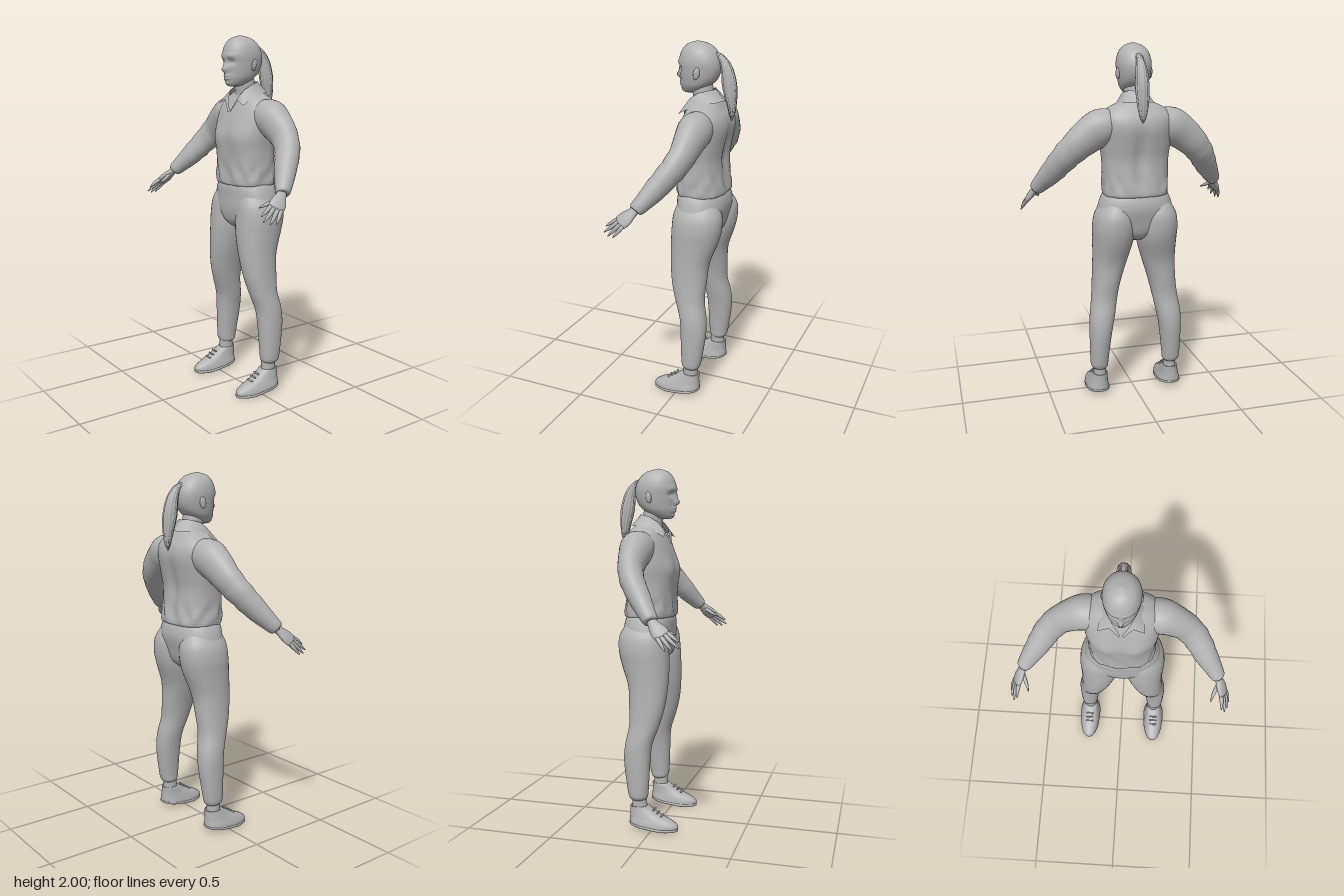
import * as THREE from 'three';

const grey = new THREE.MeshStandardMaterial({ color: 0xb2b2b2 });
grey.name = 'plain grey';
const greyCloth = grey.clone();
greyCloth.side = THREE.DoubleSide;
greyCloth.name = 'plain grey cloth';

const bell = (d, w) => Math.exp(-(d * d) / (w * w));

// Smooth interpolation between the rows of a loft
function refine(rows, sub) {
  const out = [];
  for (let i = 0; i < rows.length - 1; i++) {
    const a = rows[Math.max(i - 1, 0)], b = rows[i], c = rows[i + 1], d = rows[Math.min(i + 2, rows.length - 1)];
    for (let k = 0; k < sub; k++) {
      const t = k / sub;
      out.push(b.map((_, m) => 0.5 * (2 * b[m] + (c[m] - a[m]) * t + (2 * a[m] - 5 * b[m] + 4 * c[m] - d[m]) * t * t
        + (3 * b[m] - a[m] - 3 * c[m] + d[m]) * t * t * t)));
    }
  }
  out.push(rows[rows.length - 1]);
  return out;
}

// Skin over oval rings. Row: x, y, z, side radius, front radius, back radius.
// Rings lie level (rows go upward) unless ref is given; then they follow the path.
function loft(name, rows, { n = 28, sub = 4, power = 2, ref = null, bump = null } = {}) {
  const rings = refine(rows, sub), pos = [], index = [];
  const centre = r => new THREE.Vector3(r[0], r[1], r[2]);
  rings.forEach((r, i) => {
    const u = new THREE.Vector3(1, 0, 0), v = new THREE.Vector3(0, 0, 1);
    if (ref) {
      const t = centre(rings[Math.min(i + 1, rings.length - 1)]).sub(centre(rings[Math.max(i - 1, 0)])).normalize();
      v.copy(ref).addScaledVector(t, -ref.dot(t)).normalize();
      u.crossVectors(t, v);
    }
    for (let j = 0; j < n; j++) {
      const a = (j / n) * Math.PI * 2, c = Math.cos(a), s = Math.sin(a), e = 2 / power;
      const p = centre(r)
        .addScaledVector(u, Math.sign(c) * Math.abs(c) ** e * Math.max(r[3], 0.001))
        .addScaledVector(v, Math.sign(s) * Math.abs(s) ** e * Math.max(s > 0 ? r[4] : r[5] ?? r[4], 0.001));
      if (bump) bump(p, a, centre(r));
      pos.push(p.x, p.y, p.z);
    }
  });
  const last = (rings.length - 1) * n, c0 = rings.length * n;
  pos.push(...rings[0].slice(0, 3), ...rings[rings.length - 1].slice(0, 3));
  for (let j = 0; j < n; j++) {
    const k = (j + 1) % n;
    for (let i = 0; i < last; i += n) index.push(i + j, i + n + j, i + k, i + k, i + n + j, i + n + k);
    index.push(c0, j, k, c0 + 1, last + k, last + j);
  }
  const g = new THREE.BufferGeometry();
  g.setAttribute('position', new THREE.Float32BufferAttribute(pos, 3));
  g.setIndex(index);
  g.computeVertexNormals();
  const mesh = new THREE.Mesh(g, grey);
  mesh.name = name;
  return mesh;
}

// Brow, eye sockets, nose, lips and chin pushed out of the face
function faceBump(p) {
  if (p.z < 0) return;
  const ax = Math.abs(p.x);
  p.z += 0.028 * bell(p.x, 0.014) * bell(p.y - 1.815, 0.02) + 0.012 * bell(p.x, 0.012) * bell(p.y - 1.85, 0.025);
  p.z -= 0.014 * bell(ax - 0.036, 0.02) * bell(p.y - 1.857, 0.016);
  p.z += 0.006 * bell(ax - 0.035, 0.03) * bell(p.y - 1.887, 0.014);
  p.z += 0.012 * bell(p.x, 0.026) * (bell(p.y - 1.783, 0.008) + bell(p.y - 1.767, 0.008));
  p.z += 0.008 * bell(p.x, 0.025) * bell(p.y - 1.742, 0.013);
}

// Bust, spine furrow and loose folds of the shirt
function shirtBump(p, a) {
  if (p.z > -0.05) p.z += 0.014 * bell(Math.abs(p.x) - 0.085, 0.06) * bell(p.y - 1.45, 0.07);
  else p.z += 0.02 * bell(p.x, 0.03) * bell(p.y - 1.4, 0.16);
  const low = bell(p.y - 1.24, 0.06);
  p.x *= 1 + 0.02 * low * Math.sin(a * 9 + p.y * 40);
  p.z += 0.006 * low * Math.sin(a * 11 - p.y * 30);
}

function collar(s) {
  const pairs = [
    [[0, 1.75, -0.135], [0, 1.69, -0.185]], [[0.05, 1.75, -0.115], [0.08, 1.69, -0.16]],
    [[0.07, 1.735, -0.06], [0.105, 1.685, -0.075]], [[0.064, 1.705, -0.012], [0.118, 1.625, 0.034]],
    [[0.045, 1.67, 0.012], [0.06, 1.65, 0.028]], [[0.004, 1.59, 0.04], [0.012, 1.585, 0.045]]];
  const g = new THREE.BufferGeometry(), index = [];
  g.setAttribute('position', new THREE.Float32BufferAttribute(pairs.flat().flatMap(([x, y, z]) => [x * s, y, z]), 3));
  for (let i = 0; i < pairs.length * 2 - 2; i += 2) {
    if (s > 0) index.push(i, i + 2, i + 1, i + 1, i + 2, i + 3);
    else index.push(i, i + 1, i + 2, i + 1, i + 3, i + 2);
  }
  g.setIndex(index);
  g.computeVertexNormals();
  const mesh = new THREE.Mesh(g, greyCloth);
  mesh.name = 'collar';
  return mesh;
}

export function createModel() {
  const model = new THREE.Group();
  model.name = 'standing woman';

  // Head, neck and hair
  model.add(loft('head', [
    [0, 1.725, 0.02, 0.015, 0.015, 0.03], [0, 1.735, 0, 0.045, 0.05, 0.06], [0, 1.765, -0.03, 0.072, 0.09, 0.07],
    [0, 1.8, -0.04, 0.084, 0.102, 0.098], [0, 1.85, -0.045, 0.092, 0.112, 0.114], [0, 1.9, -0.045, 0.094, 0.116, 0.113],
    [0, 1.95, -0.04, 0.08, 0.095, 0.095], [0, 1.983, -0.035, 0.05, 0.06, 0.06], [0, 2, -0.03, 0.002, 0.002, 0.002]],
  { n: 56, sub: 8, power: 2.1, bump: faceBump }));
  model.add(loft('neck', [[0, 1.58, -0.08, 0.075, 0.075], [0, 1.68, -0.07, 0.06, 0.06], [0, 1.8, -0.05, 0.056, 0.058]]));
  model.add(loft('ponytail', [
    [0, 1.935, -0.13, 0.012, 0.016], [0, 1.915, -0.165, 0.018, 0.02], [0, 1.86, -0.195, 0.03, 0.03],
    [0, 1.78, -0.211, 0.038, 0.036], [0, 1.7, -0.223, 0.029, 0.032], [0, 1.63, -0.228, 0.016, 0.02],
    [0, 1.59, -0.227, 0.003, 0.003]], {
    n: 48, ref: new THREE.Vector3(1, 0, 0),
    bump: (p, a, c) => p.sub(c).multiplyScalar(1 + 0.07 * Math.cos(a * 12)).add(c)
  }));

  // Shirt body and hem
  model.add(loft('shirt', [
    [0, 1.18, -0.07, 0.17, 0.125, 0.125], [0, 1.195, -0.07, 0.183, 0.135, 0.14], [0, 1.28, -0.07, 0.182, 0.135, 0.13],
    [0, 1.38, -0.07, 0.185, 0.138, 0.125], [0, 1.46, -0.07, 0.195, 0.136, 0.137], [0, 1.55, -0.08, 0.2, 0.125, 0.142],
    [0, 1.61, -0.09, 0.195, 0.112, 0.122], [0, 1.655, -0.09, 0.16, 0.09, 0.092], [0, 1.685, -0.085, 0.1, 0.07, 0.075],
    [0, 1.7, -0.08, 0.06, 0.06, 0.06]], { n: 64, sub: 6, power: 2.5, bump: shirtBump }));

  // Trouser seat
  model.add(loft('trouser seat', [
    [0, 0.93, -0.07, 0.05, 0.07, 0.07], [0, 0.97, -0.07, 0.12, 0.115, 0.11], [0, 1.04, -0.07, 0.22, 0.13, 0.13],
    [0, 1.11, -0.07, 0.212, 0.13, 0.145], [0, 1.165, -0.07, 0.195, 0.13, 0.138], [0, 1.2, -0.07, 0.175, 0.12, 0.12]],
  { n: 40, power: 2.3 }));

  for (const s of [1, -1]) {
    const side = rows => rows.map(([x, ...rest]) => [x * s, ...rest]);
    model.add(collar(s));

    const ear = new THREE.Mesh(new THREE.SphereGeometry(1, 16, 12), grey);
    ear.name = 'ear';
    ear.scale.set(0.009, 0.032, 0.018);
    ear.position.set(0.092 * s, 1.84, -0.06);
    ear.rotation.set(-0.2, 0.3 * s, 0);
    model.add(ear);

    // Sleeve from shoulder to cuff
    model.add(loft('sleeve', side([
      [0.1, 1.585, -0.09, 0.07, 0.08], [0.19, 1.56, -0.095, 0.1, 0.092], [0.26, 1.518, -0.092, 0.096, 0.08],
      [0.33, 1.46, -0.085, 0.084, 0.068], [0.39, 1.395, -0.055, 0.075, 0.064], [0.45, 1.31, 0.005, 0.064, 0.058],
      [0.5, 1.245, 0.055, 0.049, 0.046], [0.527, 1.21, 0.085, 0.038, 0.038], [0.53, 1.206, 0.088, 0.022, 0.022]]), {
      n: 32, ref: new THREE.Vector3(0, 0, 1),
      bump: (p, a, c) => p.sub(c).multiplyScalar(1 + 0.035 * bell(c.y - 1.38, 0.08) * Math.sin(c.y * 110 + a)).add(c)
    }));

    // Hand with fingers and thumb
    const spread = new THREE.Vector3(-0.4 * s, 0.4, 0.8);
    model.add(loft('palm', side([
      [0.518, 1.222, 0.075, 0.02, 0.024], [0.535, 1.195, 0.1, 0.019, 0.028], [0.552, 1.165, 0.13, 0.019, 0.042],
      [0.565, 1.14, 0.158, 0.014, 0.042], [0.57, 1.132, 0.166, 0.005, 0.034]]), { n: 20, ref: spread }));
    const fingers = {
      thumb: [[0.535, 1.185, 0.115], [0.512, 1.158, 0.165], [0.497, 1.14, 0.21]],
      'index finger': [[0.552, 1.153, 0.178], [0.558, 1.133, 0.21], [0.56, 1.11, 0.242]],
      'middle finger': [[0.562, 1.145, 0.168], [0.574, 1.113, 0.206], [0.58, 1.083, 0.246]],
      'ring finger': [[0.573, 1.135, 0.153], [0.587, 1.101, 0.187], [0.595, 1.07, 0.216]],
      'little finger': [[0.578, 1.13, 0.135], [0.593, 1.1, 0.158], [0.604, 1.07, 0.182]]
    };
    for (const [name, [a, b, c]] of Object.entries(fingers)) {
      model.add(loft(name, side([[...a, 0.012, 0.012], [...b, 0.01, 0.01], [...c, 0.003, 0.003]]), { n: 10, ref: spread }));
    }

    // Trouser leg with knee, calf and gathered cuff
    model.add(loft('trouser leg', side([
      [0.213, 0.165, -0.085, 0.036, 0.04, 0.04], [0.215, 0.18, -0.085, 0.048, 0.052, 0.05],
      [0.216, 0.22, -0.085, 0.052, 0.058, 0.06], [0.208, 0.38, -0.09, 0.063, 0.07, 0.077],
      [0.197, 0.48, -0.085, 0.071, 0.074, 0.078], [0.18, 0.58, -0.065, 0.073, 0.088, 0.08],
      [0.164, 0.68, -0.05, 0.08, 0.1, 0.1], [0.143, 0.8, -0.05, 0.096, 0.114, 0.11],
      [0.127, 0.92, -0.06, 0.113, 0.126, 0.142], [0.124, 1.0, -0.07, 0.118, 0.132, 0.15],
      [0.12, 1.08, -0.075, 0.108, 0.128, 0.143], [0.11, 1.15, -0.075, 0.075, 0.1, 0.105]]), { n: 36, power: 2.15 }));

    // Ankle and shoe, heel slightly raised
    model.add(loft('ankle', side([[0.213, 0.07, -0.08, 0.04, 0.045], [0.212, 0.14, -0.078, 0.036, 0.042], [0.212, 0.2, -0.08, 0.036, 0.042]])));
    const tilt = p => { p.y += Math.max(0, 0.06 - p.z) * 0.15 * Math.max(0, 1 - p.y / 0.13); };
    model.add(loft('shoe', side([
      [0.217, 0.002, -0.04, 0.05, 0.155, 0.08], [0.217, 0.012, -0.04, 0.063, 0.183, 0.092], [0.217, 0.035, -0.04, 0.061, 0.182, 0.092],
      [0.216, 0.06, -0.045, 0.055, 0.15, 0.086], [0.215, 0.085, -0.06, 0.05, 0.105, 0.07], [0.213, 0.115, -0.07, 0.046, 0.065, 0.06],
      [0.213, 0.132, -0.078, 0.043, 0.05, 0.052], [0.213, 0.128, -0.078, 0.034, 0.04, 0.042]]), { n: 36, power: 2.2, bump: tilt }));
    model.add(loft('shoe sole', side([
      [0.217, 0, -0.04, 0.062, 0.182, 0.09], [0.217, 0.003, -0.04, 0.066, 0.186, 0.095], [0.217, 0.014, -0.04, 0.066, 0.186, 0.095],
      [0.217, 0.017, -0.04, 0.06, 0.18, 0.09]]), { n: 36, sub: 2, power: 2.2, bump: tilt }));
    for (let i = 0; i < 3; i++) {
      const lace = new THREE.Mesh(new THREE.CapsuleGeometry(0.005, 0.04, 4, 8), grey);
      lace.name = 'shoe lace';
      lace.position.set(0.215 * s, 0.082 + i * 0.016, 0.053 - i * 0.022);
      lace.rotation.set(0, 0, Math.PI / 2);
      model.add(lace);
    }
  }
  return model;
}
